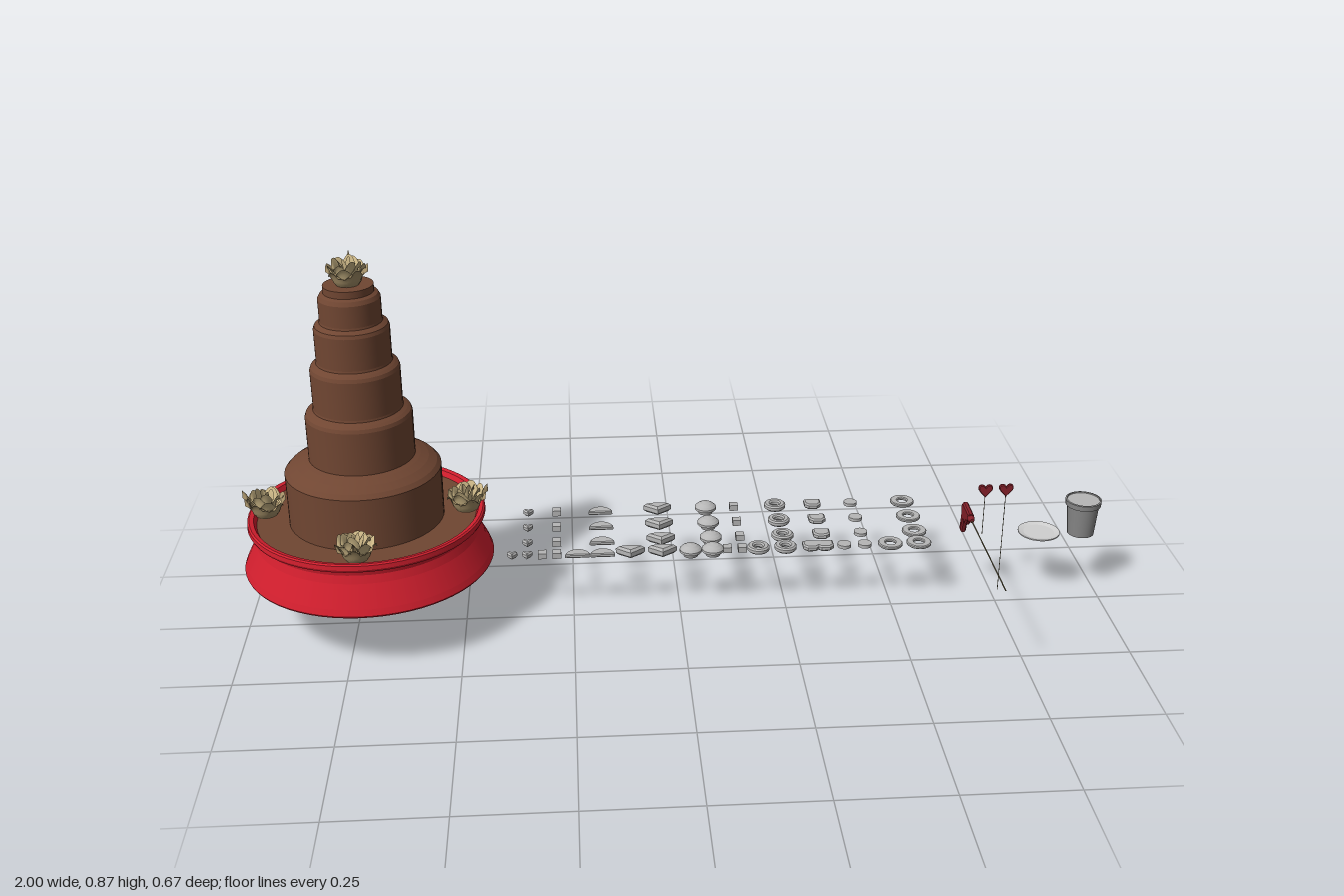
import * as THREE from 'three';

const mat = (name, color, double) => {
  const m = new THREE.MeshStandardMaterial({ color });
  m.name = name;
  if (double) m.side = THREE.DoubleSide;
  return m;
};
const red = mat('standRed', 0xd01e2d, true);
const brown = mat('chocolateBrown', 0x704632);
const tan = mat('outerPetalTan', 0xa59068, true);
const cream = mat('innerPetalCream', 0xcbb686, true);
const grey = mat('moldGrey', 0xb6b6b6);
const pale = mat('plateGrey', 0xd0d0d0);
const steel = mat('bucketGrey', 0x888888, true);
const wine = mat('darkRed', 0x86202a);
const stickMat = mat('stickOlive', 0x6e6648);

function add(parent, name, geo, material, x = 0, y = 0, z = 0) {
  const m = new THREE.Mesh(geo, material);
  m.name = name;
  m.position.set(x, y, z);
  parent.add(m);
  return m;
}

// Lathe whose listed corners stay crisp: every segment has its own normals
function lathe(points, segs = 64) {
  const pos = [], nor = [], idx = [];
  for (let i = 0; i < points.length - 1; i++) {
    const g = new THREE.LatheGeometry([points[i], points[i + 1]].map(p => new THREE.Vector2(...p)), segs);
    const base = pos.length / 3;
    pos.push(...g.attributes.position.array);
    nor.push(...g.attributes.normal.array);
    for (const k of g.index.array) idx.push(k + base);
  }
  const out = new THREE.BufferGeometry();
  out.setAttribute('position', new THREE.Float32BufferAttribute(pos, 3));
  out.setAttribute('normal', new THREE.Float32BufferAttribute(nor, 3));
  out.setIndex(idx);
  return out;
}

// Curved petal: wraps around the axis, flares outward and ends in a soft point
function petal(span, r0, r1, height, flare, point) {
  const g = new THREE.PlaneGeometry(2, 1, 8, 6);
  const p = g.attributes.position;
  for (let i = 0; i < p.count; i++) {
    const u = p.getX(i), v = p.getY(i) + 0.5;
    const r = r0 + (r1 - r0) * Math.sqrt(v) + flare * v ** 4;
    const a = u * span * (1 - point * v * v);
    const y = height * v * (1 - 0.3 * u * u * v) - flare * 0.35 * v ** 6;
    p.setXYZ(i, r * Math.sin(a), y, r * Math.cos(a));
  }
  g.computeVertexNormals();
  return g;
}

function rose(parent, name, x, y, z, turn) {
  const g = new THREE.Group();
  g.name = name;
  g.position.set(x, y, z);
  g.rotation.y = turn;
  // count, span, bottom radius, top radius, height, flare, pointedness, colour
  const rings = [
    [5, 0.8, 0.024, 0.038, 0.044, 0.008, 0.6, tan],
    [5, 0.75, 0.019, 0.033, 0.051, 0.008, 0.4, cream],
    [4, 0.85, 0.015, 0.025, 0.056, 0.007, 0.3, cream],
    [3, 1.1, 0.010, 0.015, 0.060, 0.005, 0.25, cream],
    [2, 1.6, 0.004, 0.007, 0.062, 0.002, 0.3, cream],
  ];
  rings.forEach(([n, span, r0, r1, h, flare, point, color], k) => {
    for (let i = 0; i < n; i++) {
      const m = add(g, 'petal', petal(span, r0, r1, h * (1 + 0.06 * Math.sin(i * 2.3 + k)), flare, point), color);
      m.rotation.y = (i / n) * Math.PI * 2 + k * 0.6;
    }
  });
  add(g, 'roseCup', new THREE.CylinderGeometry(0.029, 0.025, 0.022, 20), tan, 0, 0.011, 0);
  // one long pointed leaf on the outer side
  add(g, 'leaf', petal(0.5, 0.026, 0.038, 0.066, 0.012, 0.95), tan);
  parent.add(g);
}

function extrude(shape, depth) {
  const b = depth * 0.25;
  const g = new THREE.ExtrudeGeometry(shape, {
    depth: depth - 2 * b, bevelThickness: b, bevelSize: b, bevelOffset: -b, bevelSegments: 1, curveSegments: 20,
  });
  g.translate(0, 0, b - depth / 2);
  return g;
}
const flat = (shape, depth) => extrude(shape, depth).rotateX(-Math.PI / 2);
const polygon = pts => new THREE.Shape(pts.map(p => new THREE.Vector2(...p)));

function heartShape(s) {
  const h = new THREE.Shape();
  h.moveTo(0, -s);
  h.bezierCurveTo(0.3 * s, -0.55 * s, s, -0.1 * s, s, 0.4 * s);
  h.bezierCurveTo(s, 1.05 * s, 0.15 * s, 1.05 * s, 0, 0.5 * s);
  h.bezierCurveTo(-0.15 * s, 1.05 * s, -s, 1.05 * s, -s, 0.4 * s);
  h.bezierCurveTo(-s, -0.1 * s, -0.3 * s, -0.55 * s, 0, -s);
  return h;
}

function buildCake(root) {
  const cake = new THREE.Group();
  cake.name = 'cake';
  cake.position.set(-0.716, 0, -0.052);
  root.add(cake);
  // flared stand with a raised rim
  add(cake, 'stand', lathe([[0, 0.146], [0.282, 0.146], [0.284, 0.15], [0.278, 0.164], [0.265, 0.19],
    [0.253, 0.214], [0.247, 0.232], [0.249, 0.242], [0.256, 0.247], [0.266, 0.25], [0.269, 0.256],
    [0.268, 0.266], [0.264, 0.269], [0.254, 0.267], [0.246, 0.25]]), red);
  add(cake, 'standTop', new THREE.CylinderGeometry(0.248, 0.248, 0.006, 64), brown, 0, 0.252, 0);
  // five tiers with sloping shoulders
  add(cake, 'tiers', lathe([[0.175, 0.25], [0.175, 0.377], [0.166, 0.387], [0.148, 0.398], [0.13, 0.406],
    [0.119, 0.41], [0.119, 0.51], [0.116, 0.518], [0.109, 0.523], [0.1, 0.528], [0.099, 0.533],
    [0.099, 0.62], [0.096, 0.628], [0.09, 0.633], [0.084, 0.637], [0.083, 0.642], [0.083, 0.715],
    [0.08, 0.723], [0.074, 0.727], [0.069, 0.73], [0.068, 0.735], [0.068, 0.784], [0.063, 0.793],
    [0.055, 0.797], [0.055, 0.813], [0, 0.813]]), brown);
  for (let i = 0; i < 4; i++) {
    const a = i * Math.PI / 2;
    rose(cake, 'sideRose', 0.227 * Math.sin(a), 0.264, 0.227 * Math.cos(a), a);
  }
  rose(cake, 'topRose', 0, 0.812, 0, Math.PI);
}

// Small shaped pieces: four rows, with a second piece of each kind in the front row
function buildMolds(root) {
  const g = new THREE.Group();
  g.name = 'chocolateMolds';
  root.add(g);
  const half = new THREE.Shape();
  half.absarc(0, -0.015, 0.029, 0, Math.PI);
  half.closePath();
  const disc = (r, hole) => {
    const s = new THREE.Shape();
    s.absarc(0, 0, r, 0, Math.PI * 2);
    s.holes.push(new THREE.Path().absarc(0, 0, hole, 0, Math.PI * 2, true));
    return s;
  };
  const fan = polygon([[0, -0.018], [0.034, 0.008], [0.018, 0.016], [0, 0.018], [-0.018, 0.016], [-0.034, 0.008]]);
  const shield = polygon([[0.02, 0.016], [-0.02, 0.016], [-0.02, -0.008], [-0.01, -0.018], [0.01, -0.018], [0.02, -0.008]]);
  const saucer = lathe([[0, -0.016], [0.017, -0.014], [0.02, -0.006], [0.026, -0.003], [0.026, 0.003],
    [0.021, 0.008], [0.013, 0.013], [0, 0.016]], 24);
  const kinds = [
    ['heartPiece', flat(heartShape(0.012), 0.014), -0.355, -0.39],
    ['smallBlock', new THREE.BoxGeometry(0.02, 0.014, 0.02), -0.286, -0.32],
    ['halfDisc', flat(half, 0.01), -0.18, -0.238],
    ['fanPiece', flat(fan, 0.022), -0.04, -0.115],
    ['domePiece', saucer, 0.078, 0.026],
    ['squarePiece', new THREE.BoxGeometry(0.02, 0.014, 0.02), 0.147, 0.112],
    ['ringPiece', flat(disc(0.026, 0.011), 0.014), 0.249, 0.185],
    ['shieldPiece', flat(shield, 0.014), 0.342, 0.31],
    ['roundPiece', new THREE.CylinderGeometry(0.016, 0.016, 0.008, 20), 0.436, 0.388],
    ['thinRing', flat(disc(0.029, 0.012), 0.008), 0.565, 0.497],
  ];
  for (const [name, geo, x, x2] of kinds) {
    for (const z of [-0.247, -0.167, -0.09, -0.031]) add(g, name, geo, grey, x, 0.147, z);
    add(g, name, geo, grey, x2, 0.147, -0.031);
  }
}

function buildTools(root) {
  // handled tool with a long thin rod pointing forward
  const tool = new THREE.Group();
  tool.name = 'handTool';
  tool.position.set(0.677, 0, 0);
  root.add(tool);
  const body = polygon([[0.062, 0.154], [0.076, 0.158], [0.068, 0.2], [0.072, 0.222], [0.062, 0.234],
    [0, 0.232], [0, 0.212], [0.02, 0.205], [0.028, 0.192], [0.048, 0.194], [0.054, 0.18]].reverse());
  add(tool, 'toolBody', extrude(body, 0.014).rotateY(Math.PI / 2), wine);
  const nozzle = add(tool, 'toolNozzle', new THREE.CylinderGeometry(0.005, 0.009, 0.014, 16), wine, 0, 0.221, 0.005);
  nozzle.rotation.x = Math.PI / 2;
  const rod = add(tool, 'toolRod', new THREE.CylinderGeometry(0.0015, 0.0015, 0.33, 8), stickMat, 0, 0.22, 0.17);
  rod.rotation.x = Math.PI / 2;

  // heart picks, one with a longer stick
  for (const [x, bottom] of [[0.72, 0.152], [0.769, 0]]) {
    add(root, 'heartPick', extrude(heartShape(0.017), 0.008), wine, x, 0.267, -0.052);
    const len = 0.255 - bottom;
    add(root, 'pickStick', new THREE.CylinderGeometry(0.0008, 0.0008, len, 8), stickMat, x, bottom + len / 2, -0.052);
  }

  // plate and lidded bucket
  add(root, 'plate', lathe([[0, 0.149], [0.035, 0.149], [0.049, 0.153], [0.049, 0.156], [0.036, 0.153], [0, 0.153]], 40), pale, 0.857, 0, -0.053);
  add(root, 'bucket', lathe([[0, 0.148], [0.031, 0.148], [0.037, 0.222], [0.041, 0.223], [0.042, 0.236],
    [0.038, 0.237], [0.037, 0.232]], 40), steel, 0.958, 0, -0.053);
  add(root, 'bucketLid', new THREE.CylinderGeometry(0.0375, 0.0375, 0.004, 40), grey, 0.958, 0.232, -0.053);
}

export function createModel() {
  const root = new THREE.Group();
  root.name = 'cakeAndTools';
  buildCake(root);
  buildMolds(root);
  buildTools(root);
  return root;
}
